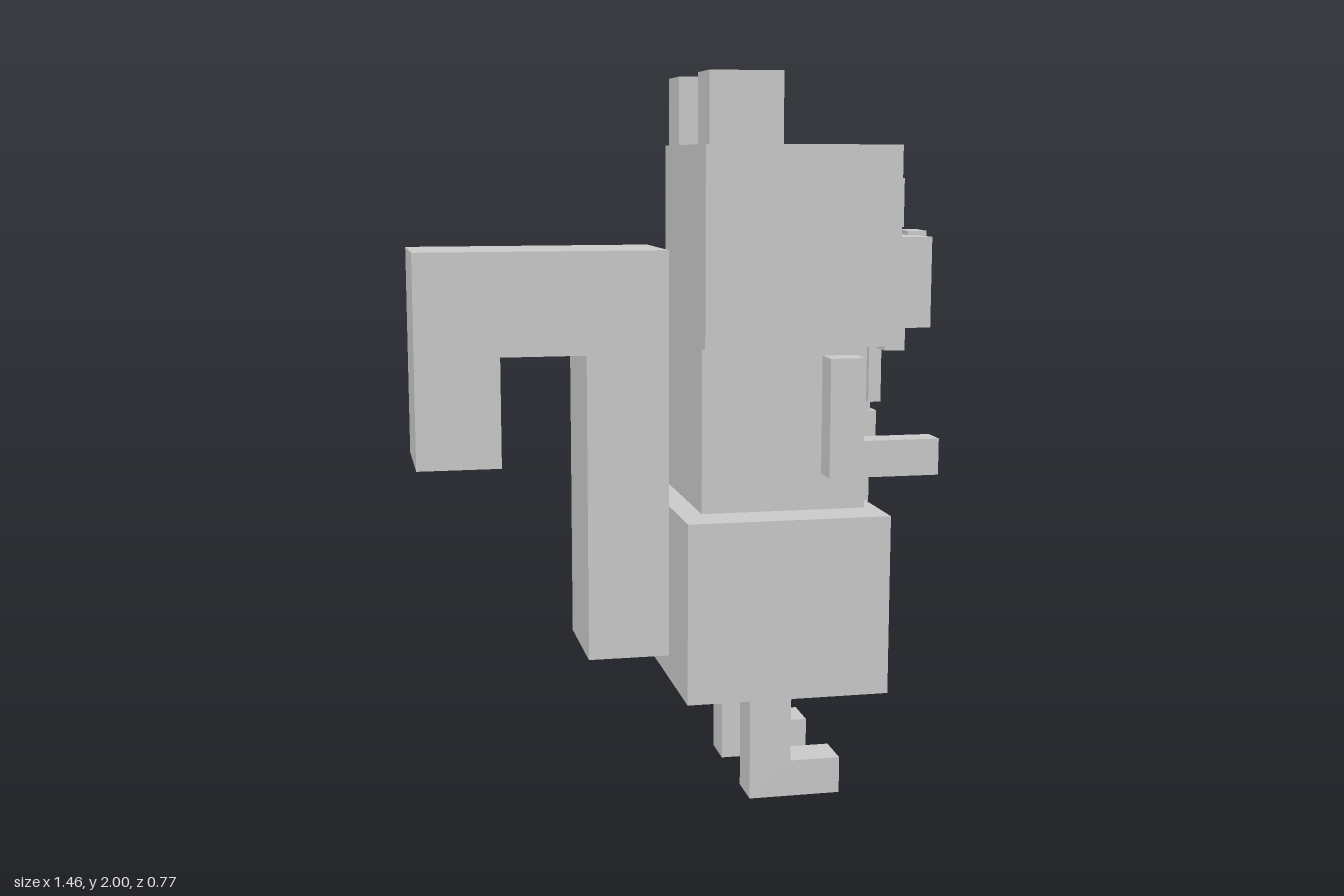
import * as THREE from 'three';

const material = new THREE.MeshStandardMaterial({ color: 0xcccccc, flatShading: true });

function addMesh(parent, name, geometry) {
  const mesh = new THREE.Mesh(geometry, material);
  mesh.name = name;
  parent.add(mesh);
  return mesh;
}

// Box given by its [min, max] range on each axis
function box(parent, name, [x0, x1], [y0, y1], [z0, z1]) {
  const mesh = addMesh(parent, name, new THREE.BoxGeometry(x1 - x0, y1 - y0, z1 - z0));
  mesh.position.set((x0 + x1) / 2, (y0 + y1) / 2, (z0 + z1) / 2);
  return mesh;
}

// Side outline extruded from z0 to z1
function slab(parent, name, outline, [z0, z1]) {
  const shape = new THREE.Shape(outline.map(([x, y]) => new THREE.Vector2(x, y)));
  const geometry = new THREE.ExtrudeGeometry(shape, { depth: z1 - z0, bevelEnabled: false });
  return addMesh(parent, name, geometry.translate(0, 0, z0));
}

export function createModel() {
  const model = new THREE.Group();
  model.name = 'blockAnimal';

  // Body
  box(model, 'torso', [0.03, 0.49], [0.82, 1.27], [-0.207, 0.258]);
  box(model, 'hips', [-0.035, 0.525], [0.325, 0.82], [-0.32, 0.385]);

  // Head and face, looking along +x
  const head = new THREE.Group();
  head.name = 'head';
  model.add(head);
  box(head, 'skull', [0.03, 0.57], [1.27, 1.81], [-0.243, 0.296]);
  box(head, 'snout', [0.57, 0.69], [1.31, 1.56], [-0.14, 0.203]);
  const nose = box(head, 'nose', [0.665, 0.72], [1.455, 1.572], [-0.032, 0.09]);
  nose.rotation.y = -0.11;

  // Paired face parts: z ranges for the two sides
  for (const z of [[0.155, 0.294], [-0.24, -0.097]]) box(head, 'ear', [0.04, 0.24], [1.81, 2], z);
  for (const z of [[0.115, 0.2], [-0.125, -0.038]]) box(head, 'eye', [0.57, 0.608], [1.588, 1.72], z);
  for (const z of [[0.031, 0.09], [-0.033, 0.026]]) box(head, 'tooth', [0.597, 0.656], [1.235, 1.31], z);

  // Bent arms
  const arm = [[0.365, 0.92], [0.673, 0.92], [0.673, 1.02], [0.46, 1.02], [0.46, 1.245], [0.365, 1.245]];
  slab(model, 'leftArm', arm, [-0.287, -0.207]);
  slab(model, 'rightArm', arm, [0.258, 0.338]);

  // Legs with feet
  const leg = [[0.17, 0], [0.43, 0], [0.43, 0.103], [0.288, 0.103], [0.288, 0.325], [0.17, 0.325]];
  slab(model, 'leftLeg', leg, [-0.2, -0.085]);
  slab(model, 'rightLeg', leg, [0.141, 0.257]);

  // Tail rising behind the body and folding down
  slab(model, 'tail', [
    [-0.27, 0.405], [-0.045, 0.405], [-0.045, 1.53], [-0.73, 1.53],
    [-0.73, 0.95], [-0.502, 0.95], [-0.502, 1.25], [-0.27, 1.25],
  ], [-0.136, 0.179]);

  // Two-pronged fork: outline in (z, y), turned to face +x
  const fork = slab(model, 'fork', [
    [-0.275, 0.74], [-0.212, 0.74], [-0.212, 1.06], [-0.113, 1.06], [-0.113, 1.41], [-0.16, 1.41],
    [-0.16, 1.1], [-0.335, 1.1], [-0.335, 1.41], [-0.385, 1.41], [-0.385, 1.06], [-0.275, 1.06],
  ], [-0.655, -0.617]);
  fork.rotation.y = -Math.PI / 2;

  return model;
}
